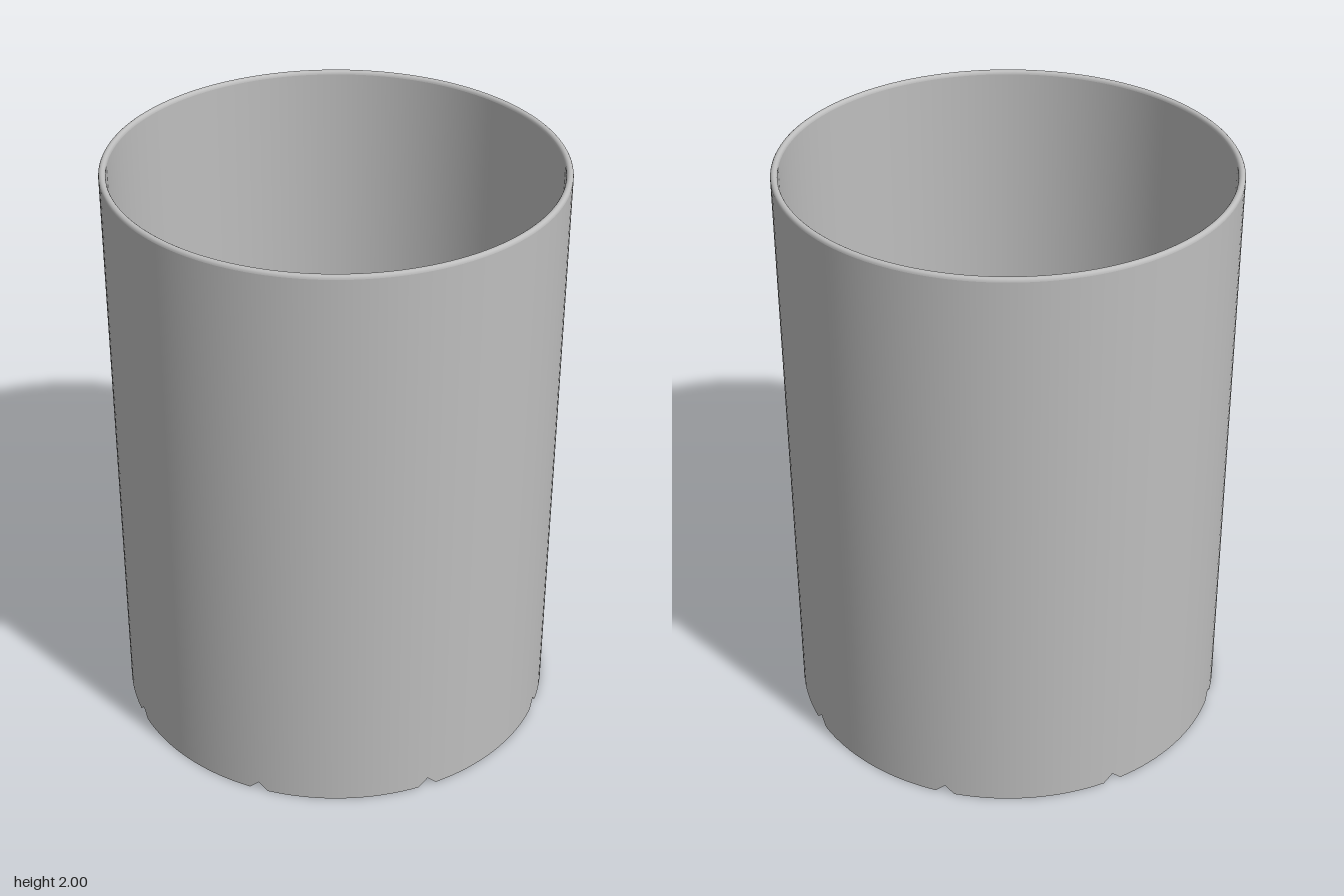
import * as THREE from 'three';
import { mergeGeometries } from 'three/addons/utils/BufferGeometryUtils.js';

const RAD = Math.PI / 180;
const TWIST = 2 * RAD;                 // the whole layout is turned slightly
const PHI = TWIST + 22.5 * RAD;        // direction of the first drain groove
const STEP = 45 * RAD;
const R = 0.747, INNER = 0.718, FLOOR = 0.06;
const GROOVE_H = 0.031, GROOVE_W = R * Math.sin(2.5 * RAD);
const HOLE = 0.031, HOLE_RADII = [0.307, 0.562];

// Plan position for a radius and an angle measured from +z towards +x
const polar = (r, a) => new THREE.Vector2(r * Math.sin(a), r * Math.cos(a));

// Height of the underside: zero, rising to a V along each of the eight grooves
function underside(x, z) {
  let a = (Math.atan2(x, z) - PHI) / STEP;
  a = (a - Math.round(a)) * STEP;
  const d = Math.hypot(x, z) * Math.abs(Math.sin(a));
  return GROOVE_H * Math.max(0, 1 - d / GROOVE_W);
}

// Raise the vertices lying at y = 0 onto the underside
function fitUnderside(geometry) {
  const p = geometry.attributes.position;
  for (let i = 0; i < p.count; i++) {
    if (Math.abs(p.getY(i)) < 1e-5) p.setY(i, underside(p.getX(i), p.getZ(i)));
  }
  return geometry;
}

// Downward-facing plate from a plan outline
function plate(points) {
  const g = new THREE.ShapeGeometry(new THREE.Shape(points)).rotateX(Math.PI / 2);
  fitUnderside(g).computeVertexNormals();
  return g;
}

// One sloping side of a groove, with half-circle bites for the drain holes
function grooveSide(angle, side) {
  const h = 22.5 * RAD;
  const pts = [
    [HOLE * Math.cos(h), HOLE * Math.sin(h)], [GROOVE_W / Math.tan(h), GROOVE_W],
    [R * Math.cos(2.5 * RAD), GROOVE_W], [R, 0],
  ];
  for (const r of [...HOLE_RADII].reverse()) {
    for (let i = 0; i <= 12; i++) {
      const t = i * Math.PI / 12;
      pts.push([r + HOLE * Math.cos(t), HOLE * Math.sin(t)]);
    }
  }
  pts.push([HOLE, 0]);
  return plate(pts.map(([u, v]) => polar(Math.hypot(u, v), angle + side * Math.atan2(v, u))));
}

// Flat pad between two grooves
function pad(angle) {
  const pts = [polar(GROOVE_W / Math.sin(STEP / 2), angle + STEP / 2)];
  for (let i = 1; i <= 17; i++) pts.push(polar(R, angle + i * 2.5 * RAD));
  return plate(pts);
}

export function createModel() {
  const model = new THREE.Group();
  const grey = new THREE.MeshStandardMaterial({ color: 0xbebebe });
  grey.name = 'grey';
  const greyOpen = grey;
  greyOpen.side = THREE.DoubleSide;
  const add = (name, geometry) => {
    const mesh = new THREE.Mesh(geometry, grey);
    mesh.name = name;
    model.add(mesh);
    return mesh;
  };

  // Outer wall, notched by the grooves at its foot
  add('outerWall', fitUnderside(new THREE.LatheGeometry(
    [new THREE.Vector2(R, 0), new THREE.Vector2(R, FLOOR), new THREE.Vector2(R, 1.988)], 144, PHI)));

  // Rounded rim
  const rim = [];
  const rimHalf = (R - 0.724) / 2;
  for (let i = 0; i <= 8; i++) {
    const t = i * Math.PI / 8;
    rim.push(new THREE.Vector2(R - rimHalf + rimHalf * Math.cos(t), 1.988 + 0.012 * Math.sin(t)));
  }
  add('rim', new THREE.LatheGeometry(rim, 144, PHI));

  // Inner wall with a slight draft
  add('innerWall', new THREE.LatheGeometry(
    [new THREE.Vector2(0.724, 1.988), new THREE.Vector2(INNER, FLOOR)], 144, PHI));

  // Drain hole centres: one in the middle, two along every groove
  const holes = [new THREE.Vector2(0, 0)];
  for (let k = 0; k < 8; k++) {
    for (const r of HOLE_RADII) holes.push(polar(r, PHI + k * STEP));
  }

  // Inside floor with the holes cut out
  const floor = new THREE.Shape().absarc(0, 0, INNER, 0, Math.PI * 2, false);
  for (const c of holes) {
    floor.holes.push(new THREE.Path().absarc(c.x, -c.y, HOLE, 0, Math.PI * 2, true));
  }
  add('floor', new THREE.ShapeGeometry(floor, 72).rotateX(-Math.PI / 2).translate(0, FLOOR, 0));

  // Hole linings, ending on the groove surfaces
  add('drainHoles', mergeGeometries(holes.map((c) => fitUnderside(
    new THREE.CylinderGeometry(HOLE, HOLE, FLOOR, 48, 1, true, PHI)
      .translate(c.x, FLOOR / 2, c.y)))));

  // Underside: pads and V-shaped grooves
  const pads = [], grooves = [];
  for (let k = 0; k < 8; k++) {
    const a = PHI + k * STEP;
    pads.push(pad(a));
    grooves.push(grooveSide(a, 1), grooveSide(a, -1));
  }
  add('basePads', mergeGeometries(pads));
  add('drainGrooves', mergeGeometries(grooves));

  // Thin crossed dividers standing on the floor
  const dividerTop = 1.0;
  for (const turn of [0, Math.PI / 2]) {
    const divider = add('divider', new THREE.BoxGeometry(INNER * 2, dividerTop - FLOOR, 0.018));
    divider.position.y = (dividerTop + FLOOR) / 2;
    divider.rotation.y = TWIST + turn;
  }
  return model;
}
